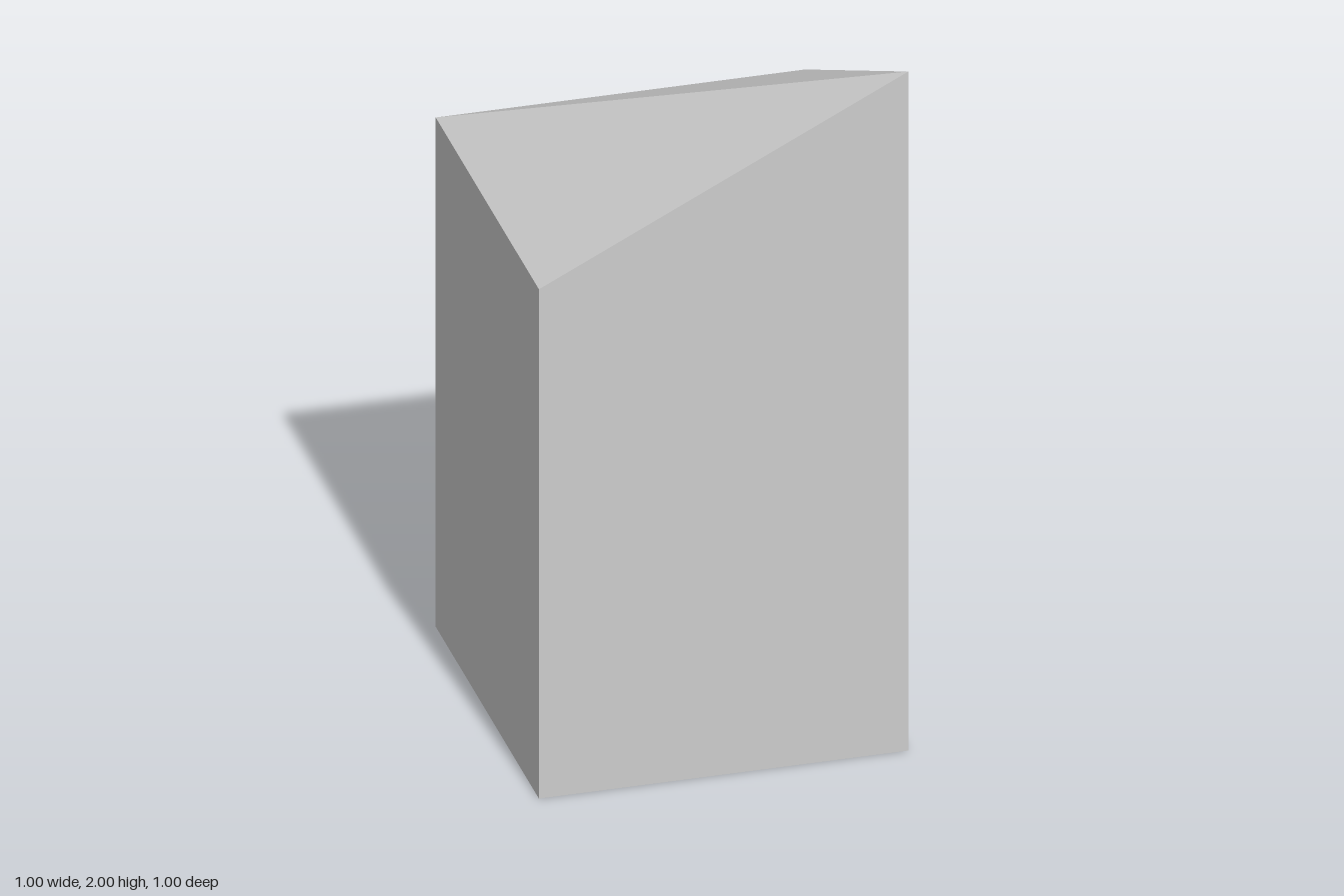
import * as THREE from 'three';

export function createModel() {
  const group = new THREE.Group();
  group.name = 'slantedBlock';

  // Square block; the quarter turn makes the top's fold run from back right to front left
  const box = new THREE.BoxGeometry(1, 1.5, 1);
  box.rotateY(Math.PI / 2);
  box.translate(0, 0.75, 0);

  // Raise the front left top corner to a peak, folding the top into two slopes
  const p = box.attributes.position;
  for (let i = 0; i < p.count; i++) {
    if (p.getX(i) > 0 && p.getZ(i) > 0 && p.getY(i) > 1) p.setY(i, 2);
  }

  // Separate faces so every edge stays sharp
  const geometry = box.toNonIndexed();
  geometry.computeVertexNormals();

  const block = new THREE.Mesh(
    geometry,
    new THREE.MeshStandardMaterial({ color: 0xcccccc, flatShading: true })
  );
  block.name = 'peakedBlock';
  group.add(block);
  return group;
}
